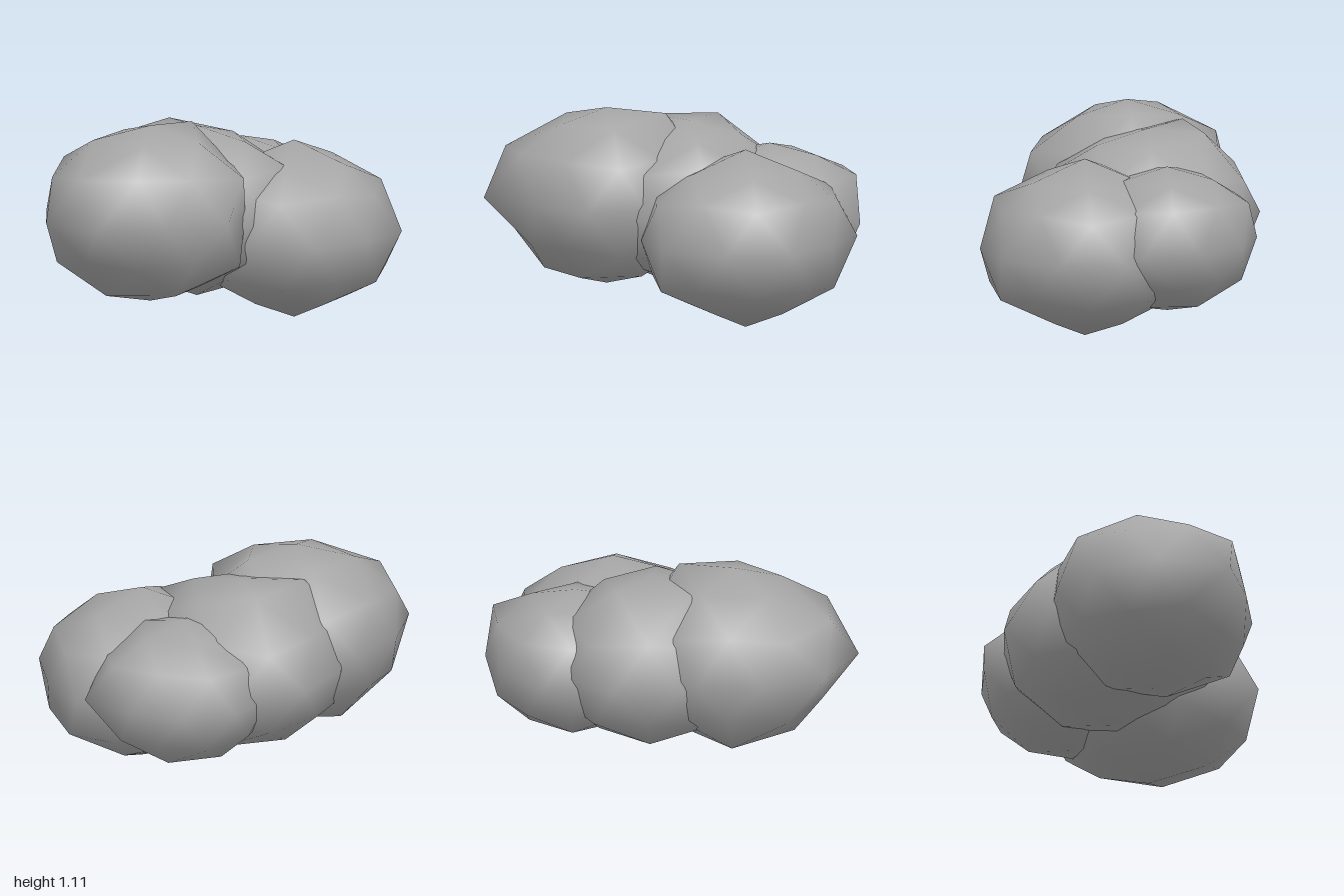
import * as THREE from 'three';
import { mergeVertices } from 'three/addons/utils/BufferGeometryUtils.js';

// Rows of the lump's vertices as unit heights
const CAP = 0.85, RING = 0.447, MID = 0.526, WAIST = 0;

// radii: ten horizontal radii every 36 degrees, from +z towards +x
// capDrop: how much the corners around the top and bottom are flattened
// nudges: [row height, angle, radial shift, vertical shift] for single corners
const boulders = [
  { name: 'frontBoulder', centre: [-0.27, 0.635, 0.34], height: 0.475, capDrop: 0,
    radii: [0.66, 0.52, 0.57, 0.51, 0.53, 0.57, 0.57, 0.55, 0.56, 0.63],
    nudges: [[CAP, 162, 0.03, 0.05], [CAP, 18, -0.05, 0], [MID, -90, 0.04, 0.015],
      [RING, 18, -0.02, 0.05], [RING, 90, 0.07, 0.02], [-MID, 90, 0.07, 0],
      [-CAP, -90, 0, -0.04], [-RING, -18, -0.08, 0.01], [-MID, 18, -0.06, 0.01]] },
  { name: 'leftBoulder', centre: [0.25, 0.48, -0.34], height: 0.48, capDrop: 0.038,
    radii: [0.56, 0.61, 0.56, 0.58, 0.53, 0.6, 0.57, 0.57, 0.57, 0.57],
    nudges: [[RING, 90, -0.03, 0]] },
  { name: 'middleBoulder', centre: [-0.21, 0.58, -0.1], height: 0.46, capDrop: 0,
    radii: [0.57, 0.6, 0.57, 0.55, 0.52, 0.55, 0.58, 0.6, 0.57, 0.66],
    nudges: [[RING, 90, 0.04, 0.07], [CAP, -126, 0, 0.06], [CAP, -54, 0.03, 0.06],
      [-CAP, -18, 0, 0.05], [-CAP, 54, 0, 0.06]] },
  { name: 'rearBoulder', centre: [-0.15, 0.53, -0.52], height: 0.39, capDrop: 0,
    radii: Array(10).fill(0.48),
    nudges: [[RING, 162, 0.04, 0.06], [MID, -162, 0.02, 0.03], [RING, -126, 0.02, 0.04],
      [WAIST, 144, 0.07, 0]] },
];

// Smooth low-poly lump with a corner at its top and bottom
function lumpGeometry({ height, capDrop, radii, nudges }) {
  let geo = new THREE.IcosahedronGeometry(1, 1);
  geo.deleteAttribute('uv');
  geo.deleteAttribute('normal');
  geo = mergeVertices(geo, 1e-4);
  geo.rotateX(-Math.atan2((1 + Math.sqrt(5)) / 2, 1)).rotateY(Math.PI / 2);

  const pos = geo.attributes.position;
  for (let i = 0; i < pos.count; i++) {
    const x = pos.getX(i), y = pos.getY(i), z = pos.getZ(i);
    const angle = (THREE.MathUtils.radToDeg(Math.atan2(x, z)) + 360) % 360;
    const k = Math.floor(angle / 36);
    const radius = THREE.MathUtils.lerp(radii[k % 10], radii[(k + 1) % 10], angle / 36 - k);
    let r = Math.hypot(x, z) * radius, h = y * height;
    if (Math.abs(Math.abs(y) - CAP) < 0.03) h -= Math.sign(y) * capDrop;
    for (const [row, a, dr, dy] of nudges) {
      const off = Math.abs(((a - angle + 900) % 360) - 180);
      if (Math.abs(row - y) < 0.03 && off < 5) { r += dr; h += dy; }
    }
    const t = THREE.MathUtils.degToRad(angle);
    pos.setXYZ(i, r * Math.sin(t), h, r * Math.cos(t));
  }
  geo.computeVertexNormals();
  return geo;
}

export function createModel() {
  const group = new THREE.Group();
  const stone = new THREE.MeshStandardMaterial({ color: 0xa6a6a6 });
  stone.name = 'stone grey';
  for (const b of boulders) {
    const mesh = new THREE.Mesh(lumpGeometry(b), stone);
    mesh.name = b.name;
    mesh.position.set(...b.centre);
    group.add(mesh);
  }
  return group;
}
